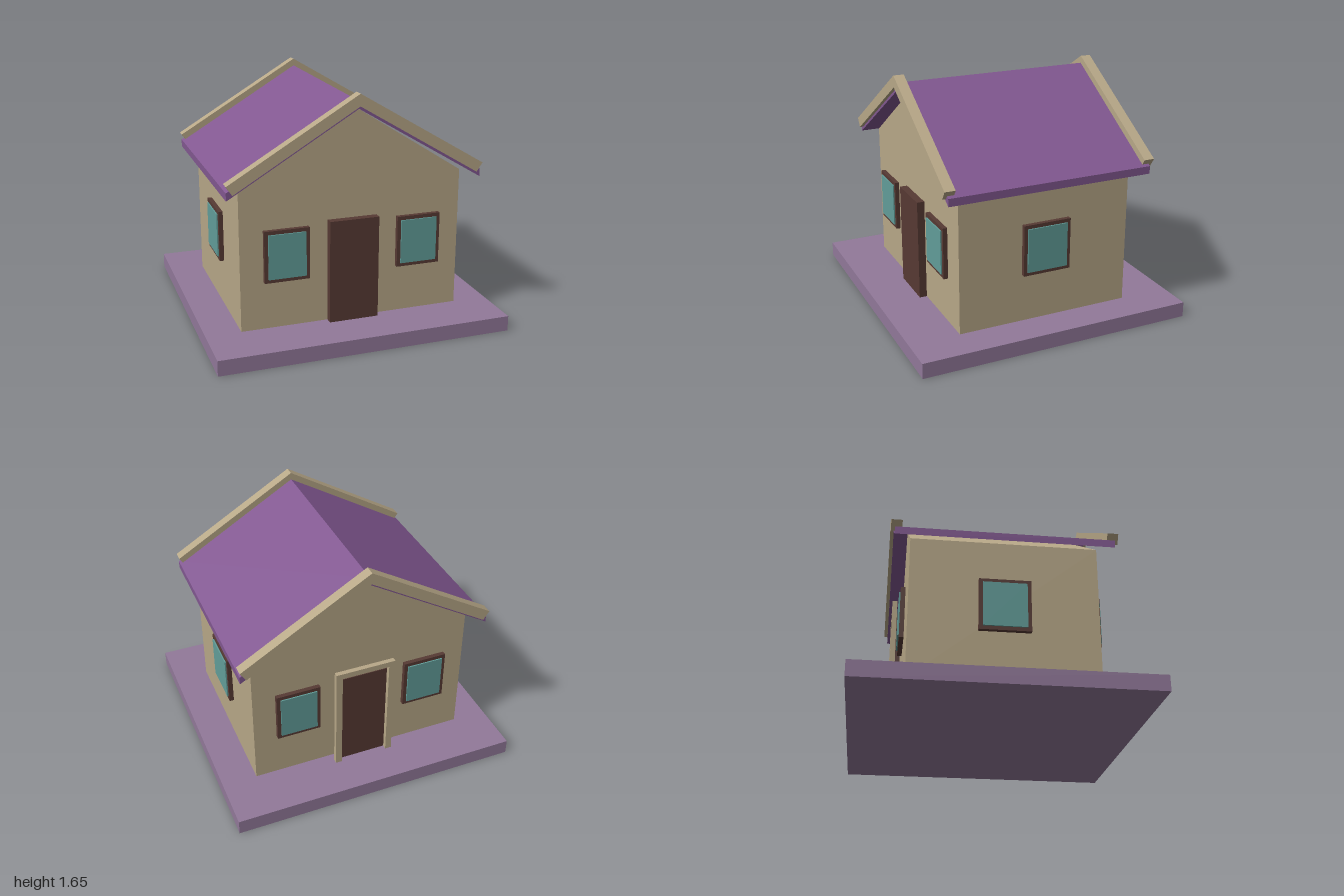
import * as THREE from 'three';

export function createModel() {
  const house = new THREE.Group();
  house.name = 'house';

  const paint = (name, color) => {
    const m = new THREE.MeshStandardMaterial({ color });
    m.name = name;
    return m;
  };
  const wallTan = paint('wallTan', 0xb8a888);
  const roofPurple = paint('roofPurple', 0x825891);
  const baseMauve = paint('baseMauve', 0x92799a);
  const woodBrown = paint('woodBrown', 0x573a34);
  const glassTeal = paint('glassTeal', 0x629e9a);

  const add = (parent, name, geometry, material) => {
    const mesh = new THREE.Mesh(geometry, material);
    mesh.name = name;
    parent.add(mesh);
    return mesh;
  };
  // Box given by its limits on each axis
  const box = (parent, name, material, [x0, x1], [y0, y1], [z0, z1]) => {
    const mesh = add(parent, name, new THREE.BoxGeometry(x1 - x0, y1 - y0, z1 - z0), material);
    mesh.position.set((x0 + x1) / 2, (y0 + y1) / 2, (z0 + z1) / 2);
    return mesh;
  };
  // Front outline extruded from z0 to z1
  const prism = (name, material, points, z0, z1) => {
    const shape = new THREE.Shape(points.map(([x, y]) => new THREE.Vector2(x, y)));
    const geometry = new THREE.ExtrudeGeometry(shape, { depth: z1 - z0, bevelEnabled: false });
    geometry.translate(0, 0, z0);
    return add(house, name, geometry, material);
  };

  // Ground slab
  box(house, 'base', baseMauve, [-1, 1], [0, 0.105], [-0.955, 0.955]);

  // Gabled walls
  prism('walls', wallTan,
    [[-0.762, 0.1], [0.762, 0.1], [0.762, 1.065], [0, 1.55], [-0.762, 1.065]], -0.608, 0.608);

  // Roof and the raised boards over both gables
  prism('roof', roofPurple,
    [[-0.86, 1.035], [0, 1.55], [0.86, 1.035], [0.86, 1.087], [0, 1.6], [-0.86, 1.087]], -0.71, 0.71);
  const board = [[-0.825, 1.075], [0, 1.57], [0.825, 1.075], [0.865, 1.135], [0, 1.65], [-0.865, 1.135]];
  prism('frontGableBoard', wallTan, board, 0.663, 0.735);
  prism('backGableBoard', wallTan, board, -0.735, -0.663);

  // Windows: a frame with a slightly raised pane, facing +z before turning
  const addWindow = (name, halfWidth, x, z, turn) => {
    const group = new THREE.Group();
    group.name = name;
    box(group, 'windowFrame', woodBrown, [-halfWidth, halfWidth], [0.437, 0.789], [0, 0.03]);
    const pane = halfWidth - 0.025;
    box(group, 'windowPane', glassTeal, [-pane, pane], [0.462, 0.764], [0.03, 0.039]);
    group.position.set(x, 0, z);
    group.rotation.y = turn;
    house.add(group);
  };
  for (const [label, side] of [['left', 1], ['right', -1]]) {
    addWindow(label + 'FrontWindow', 0.152, side * 0.457, 0.621, 0);
    addWindow(label + 'BackWindow', 0.152, side * 0.457, -0.621, Math.PI);
    addWindow(label + 'SideWindow', 0.167, side * 0.762, 0, side * Math.PI / 2);
  }

  // Doors
  box(house, 'frontDoor', woodBrown, [-0.17, 0.17], [0.105, 0.81], [0.6, 0.66]);
  box(house, 'backDoor', woodBrown, [-0.17, 0.17], [0.105, 0.81], [-0.662, -0.63]);

  // Trim around the back door
  for (const side of [-1, 1]) {
    const x = side * 0.188;
    box(house, 'doorPost', wallTan, [x - 0.022, x + 0.022], [0.105, 0.845], [-0.695, -0.662]);
  }
  box(house, 'doorLintel', wallTan, [-0.21, 0.21], [0.845, 0.885], [-0.695, -0.662]);

  return house;
}
